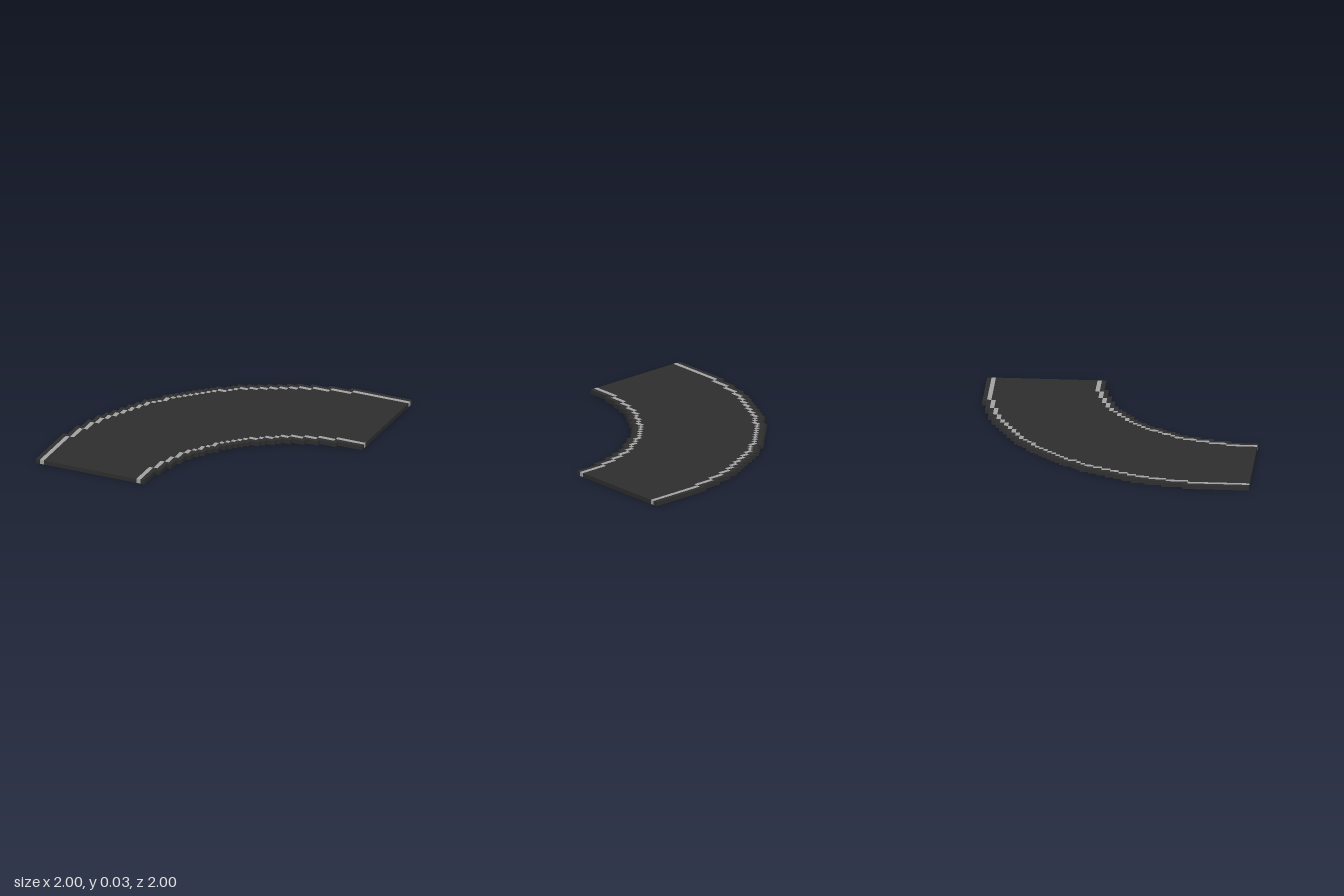
import * as THREE from 'three';

const N = 64;          // cells along each side
const CELL = 2 / N;    // cell size, also the slab thickness

// Cells are counted from the corner inside the bend (x = 1, z = 1).
function inRoad(i, j) {
  if (i < 0 || j < 0 || i >= N || j >= N) return false;
  const a = i + 0.5, b = j + 0.5;
  const outer = Math.hypot(Math.max(a - 7, 0), Math.max(b - 7, 0));
  return outer <= 57 && Math.hypot(a, b) >= 37;
}

// Stair-stepped rims of the road
const onOuterRim = (i, j) => inRoad(i, j) && (!inRoad(i + 1, j) || !inRoad(i, j + 1));
const onInnerRim = (i, j) => inRoad(i, j) &&
  ((i > 0 && !inRoad(i - 1, j)) || (j > 0 && !inRoad(i, j - 1)));

// Each line follows its rim, one cell further into the road
function partAt(i, j) {
  if (!inRoad(i, j)) return null;
  if (i < N - 1 && j < N - 1 && onOuterRim(i + 1, j + 1) &&
      !onOuterRim(i, j)) return 'outerLine';
  if (onInnerRim(Math.max(i - 1, 0), Math.max(j - 1, 0)) &&
      !onInnerRim(i, j)) return 'innerLine';
  return 'roadSurface';
}

// Top and bottom of every cell of a part, with walls only on the road's edge
function cellGeometry(part) {
  const pos = [];
  const quad = (a, b, c, d) => pos.push(...a, ...b, ...c, ...a, ...c, ...d);
  const wall = (ax, az, bx, bz) =>
    quad([ax, 0, az], [bx, 0, bz], [bx, CELL, bz], [ax, CELL, az]);
  for (let i = 0; i < N; i++) {
    for (let j = 0; j < N; j++) {
      if (partAt(i, j) !== part) continue;
      const x1 = 1 - i * CELL, x0 = x1 - CELL;
      const z1 = 1 - j * CELL, z0 = z1 - CELL;
      quad([x0, CELL, z0], [x0, CELL, z1], [x1, CELL, z1], [x1, CELL, z0]);
      quad([x0, 0, z0], [x1, 0, z0], [x1, 0, z1], [x0, 0, z1]);
      if (!inRoad(i - 1, j)) wall(x1, z1, x1, z0);
      if (!inRoad(i + 1, j)) wall(x0, z0, x0, z1);
      if (!inRoad(i, j - 1)) wall(x0, z1, x1, z1);
      if (!inRoad(i, j + 1)) wall(x1, z0, x0, z0);
    }
  }
  const geometry = new THREE.BufferGeometry();
  geometry.setAttribute('position', new THREE.Float32BufferAttribute(pos, 3));
  geometry.computeVertexNormals();
  return geometry;
}

export function createModel() {
  const asphalt = new THREE.MeshStandardMaterial({ color: 0x2e2e2e });
  asphalt.name = 'asphalt';
  const paint = new THREE.MeshStandardMaterial({ color: 0xa3a3a3 });
  paint.name = 'linePaint';

  const road = new THREE.Group();
  road.name = 'curvedRoad';
  const parts = { roadSurface: asphalt, outerLine: paint, innerLine: paint };
  for (const [name, material] of Object.entries(parts)) {
    const mesh = new THREE.Mesh(cellGeometry(name), material);
    mesh.name = name;
    road.add(mesh);
  }
  return road;
}
